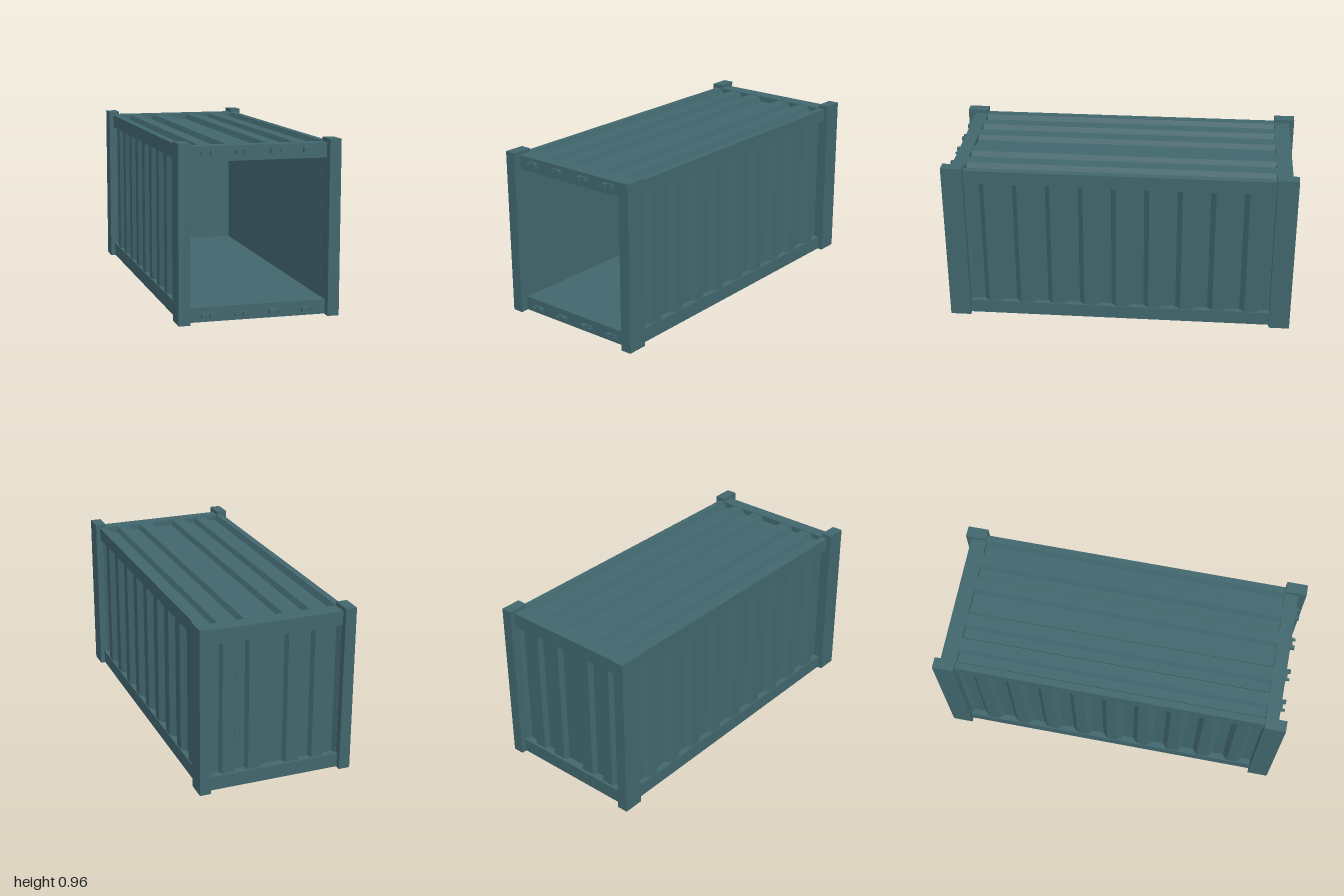
import * as THREE from 'three';

const paint = new THREE.MeshStandardMaterial({ color: 0x40666d, side: THREE.DoubleSide, flatShading: true });

function add(parent, name, geometry, x = 0, y = 0, z = 0) {
  const mesh = new THREE.Mesh(geometry, paint);
  mesh.name = name;
  mesh.position.set(x, y, z);
  parent.add(mesh);
  return mesh;
}

// Box given by its limits, leaving out some faces (0..5 = +x -x +y -y +z -z)
function box(x0, x1, y0, y1, z0, z1, open = []) {
  const g = new THREE.BoxGeometry(x1 - x0, y1 - y0, z1 - z0);
  const index = Array.from(g.index.array).filter((v, i) => !open.includes(Math.floor(i / 6)));
  g.setIndex(index);
  g.clearGroups();
  return g.translate((x0 + x1) / 2, (y0 + y1) / 2, (z0 + z1) / 2);
}

// Folded sheet: profile points [x, z] drawn upward to a height, facing +z
function foldedSheet(profile, height) {
  const p = [];
  for (let i = 0; i + 1 < profile.length; i++) {
    const [a, d] = profile[i], [b, e] = profile[i + 1];
    p.push(a, 0, d, b, 0, e, b, height, e, a, 0, d, b, height, e, a, height, d);
  }
  const g = new THREE.BufferGeometry();
  g.setAttribute('position', new THREE.Float32BufferAttribute(p, 3));
  g.computeVertexNormals();
  return g;
}

export function createModel() {
  const model = new THREE.Group();
  model.name = 'cargoContainer';

  // Hollow base tray: floor and lower rails
  add(model, 'floorTray', box(-0.42, 0.42, 0.003, 0.083, -0.97, 0.955, [3]));

  // Smooth inner lining, open at the front
  add(model, 'innerLining', box(-0.379, 0.379, 0.083, 0.861, -0.915, 0.885, [3, 4]));

  // Corner posts and upper side rails
  for (const s of [-1, 1]) {
    const [x0, x1] = s > 0 ? [0.382, 0.446] : [-0.446, -0.382];
    add(model, 'frontPost', box(x0, x1, 0, 0.96, 0.88, 1, [3]));
    add(model, 'backPost', box(x0, x1, 0, 0.96, -1, -0.88, [3]));
    const [r0, r1] = s > 0 ? [0.38, 0.42] : [-0.42, -0.38];
    add(model, 'upperSideRail', box(r0, r1, 0.86, 0.938, -0.88, 0.88));
  }

  // Upper end beams
  add(model, 'frontUpperBeam', box(-0.382, 0.382, 0.857, 0.938, 0.88, 0.955));
  add(model, 'backUpperBeam', box(-0.382, 0.382, 0.857, 0.938, -0.97, -0.88));

  // Corrugated side walls
  const ribs = [];
  for (let k = -1; k <= 8; k++) {
    const u = -0.705 + 0.188 * k;
    ribs.push([u, 0.415], [u + 0.03, 0.385], [u + 0.095, 0.385], [u + 0.125, 0.415]);
  }
  for (const s of [-1, 1]) {
    const wall = add(model, s > 0 ? 'leftWall' : 'rightWall', foldedSheet(ribs, 0.777), 0, 0.083, 0);
    wall.rotation.y = s * Math.PI / 2;
  }

  // Roof and back wall share one grooved pattern
  const grooves = [[-0.38, -0.3], [-0.23, -0.15], [-0.075, 0.075], [0.15, 0.23], [0.3, 0.38]];
  const grooved = (top, depth) => {
    const pts = [[-0.385, top]];
    for (const [a, b] of grooves) {
      pts.push([a, top], [a + 0.013, top - depth], [b - 0.013, top - depth], [b, top]);
    }
    pts.push([0.385, top]);
    return pts;
  };
  const roof = add(model, 'roof', foldedSheet(grooved(0.935, 0.03), 1.76), 0, 0, 0.88);
  roof.rotation.x = -Math.PI / 2;
  const back = add(model, 'backWall', foldedSheet(grooved(0.955, 0.03), 0.777), 0, 0.083, 0);
  back.rotation.y = Math.PI;

  // Door hinge brackets on the front beams
  for (const y of [0.037, 0.905]) {
    for (const s of [-1, 1]) {
      for (const x of [0.063, 0.246]) {
        const hinge = new THREE.Group();
        hinge.name = 'hingeBracket';
        const part = (name, a, b, h, z0, z1) =>
          add(hinge, name, box(Math.min(s * a, s * b), Math.max(s * a, s * b), -h, h, z0, z1));
        part('hingePlate', 0, 0.066, 0.013, 0.95, 0.965);
        part('hingeBlock', 0, 0.02, 0.013, 0.965, 0.98);
        part('hingeTab', 0.052, 0.066, 0.005, 0.965, 0.98);
        hinge.position.set(s * x, y, 0);
        model.add(hinge);
      }
    }
  }
  return model;
}
